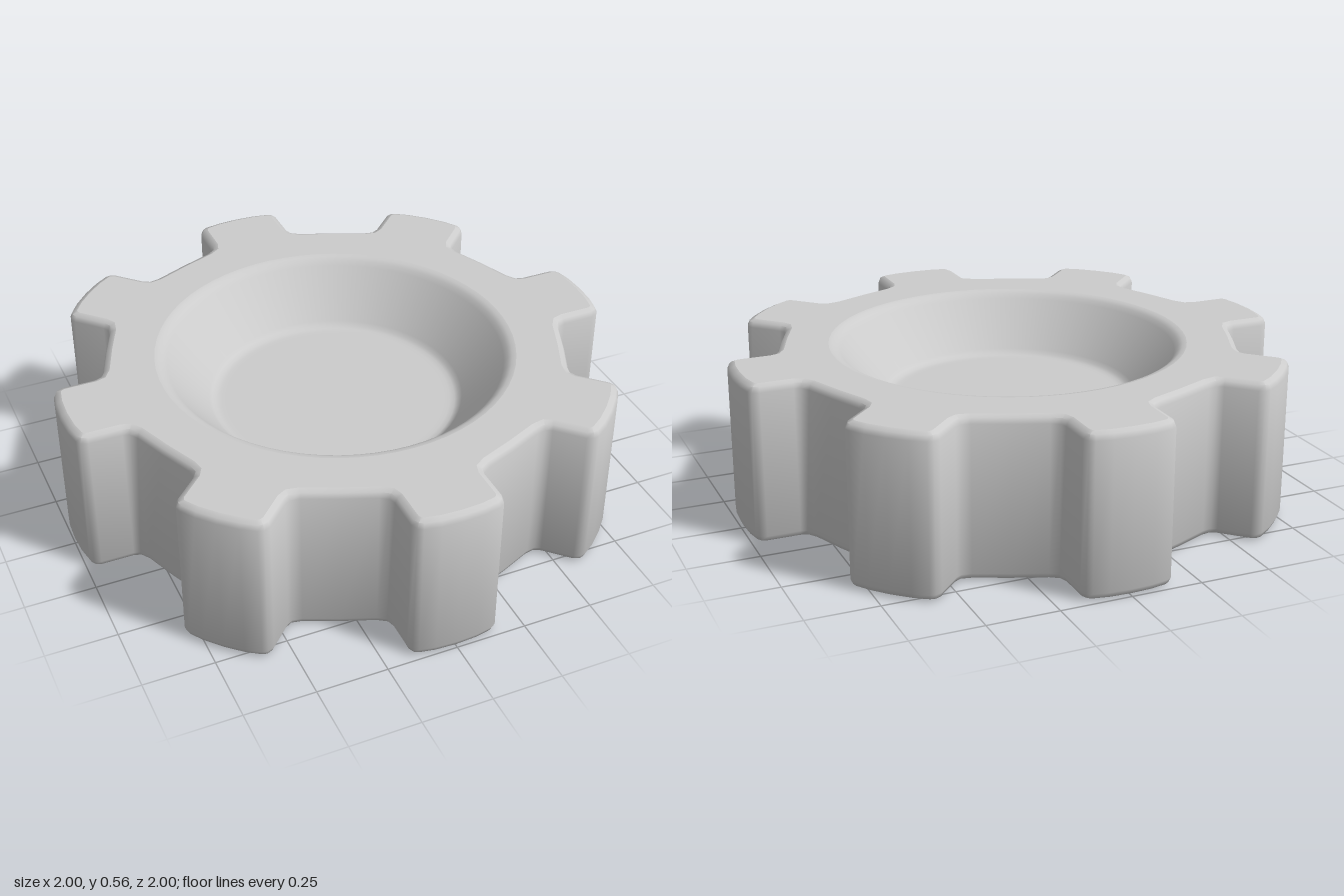
import * as THREE from 'three';
import { mergeVertices, toCreasedNormals } from 'three/addons/utils/BufferGeometryUtils.js';

const TEETH = 8, HEIGHT = 0.565, RIM = 0.635, SEGMENTS = 64;

// Half of one tooth, from the tip centre to the middle of the valley: [across, along]
const HALF_TOOTH = [
  [0.075, 0.996], [0.132, 0.985], [0.15, 0.974], [0.16, 0.95],
  [0.16, 0.835], [0.167, 0.812], [0.195, 0.793],
];

// Closed counter-clockwise gear outline
function gearOutline() {
  const tooth = [
    ...[...HALF_TOOTH].reverse().map(([a, r]) => new THREE.Vector2(r, -a)),
    new THREE.Vector2(1, 0),
    ...HALF_TOOTH.map(([a, r]) => new THREE.Vector2(r, a)),
    new THREE.Vector2(0.81, 0).rotateAround(new THREE.Vector2(), Math.PI / TEETH),
  ];
  const points = [];
  for (let i = 0; i < TEETH; i++) {
    const angle = (i / TEETH) * Math.PI * 2;
    tooth.forEach((p) => points.push(p.clone().rotateAround(new THREE.Vector2(), angle)));
  }
  return points;
}

// Move every outline point inwards by a constant distance
function inset(points, d) {
  const n = points.length;
  return points.map((p, i) => {
    const e1 = p.clone().sub(points[(i + n - 1) % n]).normalize();
    const e2 = points[(i + 1) % n].clone().sub(p).normalize();
    const n1 = new THREE.Vector2(-e1.y, e1.x), n2 = new THREE.Vector2(-e2.y, e2.x);
    const miter = n1.clone().add(n2).normalize();
    return p.clone().addScaledVector(miter, d / miter.dot(n1));
  });
}

// Side wall: rings of the outline stacked with rounded top and bottom edges
function wallGeometry(outline, rings) {
  const positions = [], index = [], n = outline.length;
  rings.forEach(([y, d]) => inset(outline, d).forEach((p) => positions.push(p.x, y, -p.y)));
  for (let k = 0; k < rings.length - 1; k++) {
    for (let i = 0; i < n; i++) {
      const a = k * n + i, b = k * n + ((i + 1) % n);
      index.push(a, b, b + n, a, b + n, a + n);
    }
  }
  const geometry = new THREE.BufferGeometry();
  geometry.setAttribute('position', new THREE.Float32BufferAttribute(positions, 3));
  geometry.setIndex(index);
  return toCreasedNormals(mergeVertices(geometry), 0.8);
}

export function createModel() {
  const group = new THREE.Group();
  const material = new THREE.MeshStandardMaterial({ color: 0xcccccc });
  const add = (name, geometry) => {
    const mesh = new THREE.Mesh(geometry, material);
    mesh.name = name;
    group.add(mesh);
  };

  const outline = gearOutline();
  const edge = [[0, 0.026], [0.008, 0.008], [0.026, 0]];
  const rings = [...edge, ...[...edge].reverse().map(([y, d]) => [HEIGHT - y, d])];
  add('toothedWall', wallGeometry(outline, rings));

  // Flat faces
  const capPoints = inset(outline, 0.026);
  const topShape = new THREE.Shape(capPoints);
  const hole = [];
  for (let i = 0; i < SEGMENTS; i++) {
    const t = (i / SEGMENTS) * Math.PI * 2;
    hole.push(new THREE.Vector2(Math.cos(t) * RIM, Math.sin(t) * RIM));
  }
  topShape.holes.push(new THREE.Path(hole));
  add('topFace', new THREE.ShapeGeometry(topShape).rotateX(-Math.PI / 2).translate(0, HEIGHT, 0));
  add('bottomFace', new THREE.ShapeGeometry(new THREE.Shape(capPoints)).rotateX(Math.PI / 2));

  // Dished recess with a soft lip, sloped side and flat floor
  const profile = [
    [RIM, 0], [0.62, -0.003], [0.605, -0.012], [0.592, -0.027],
    [0.453, -0.187], [0.441, -0.199], [0.428, -0.206], [0.41, -0.208], [0.39, -0.208], [0, -0.208],
  ].map(([r, y]) => new THREE.Vector2(r, HEIGHT + y));
  add('recess', new THREE.LatheGeometry(profile, SEGMENTS));

  return group;
}
